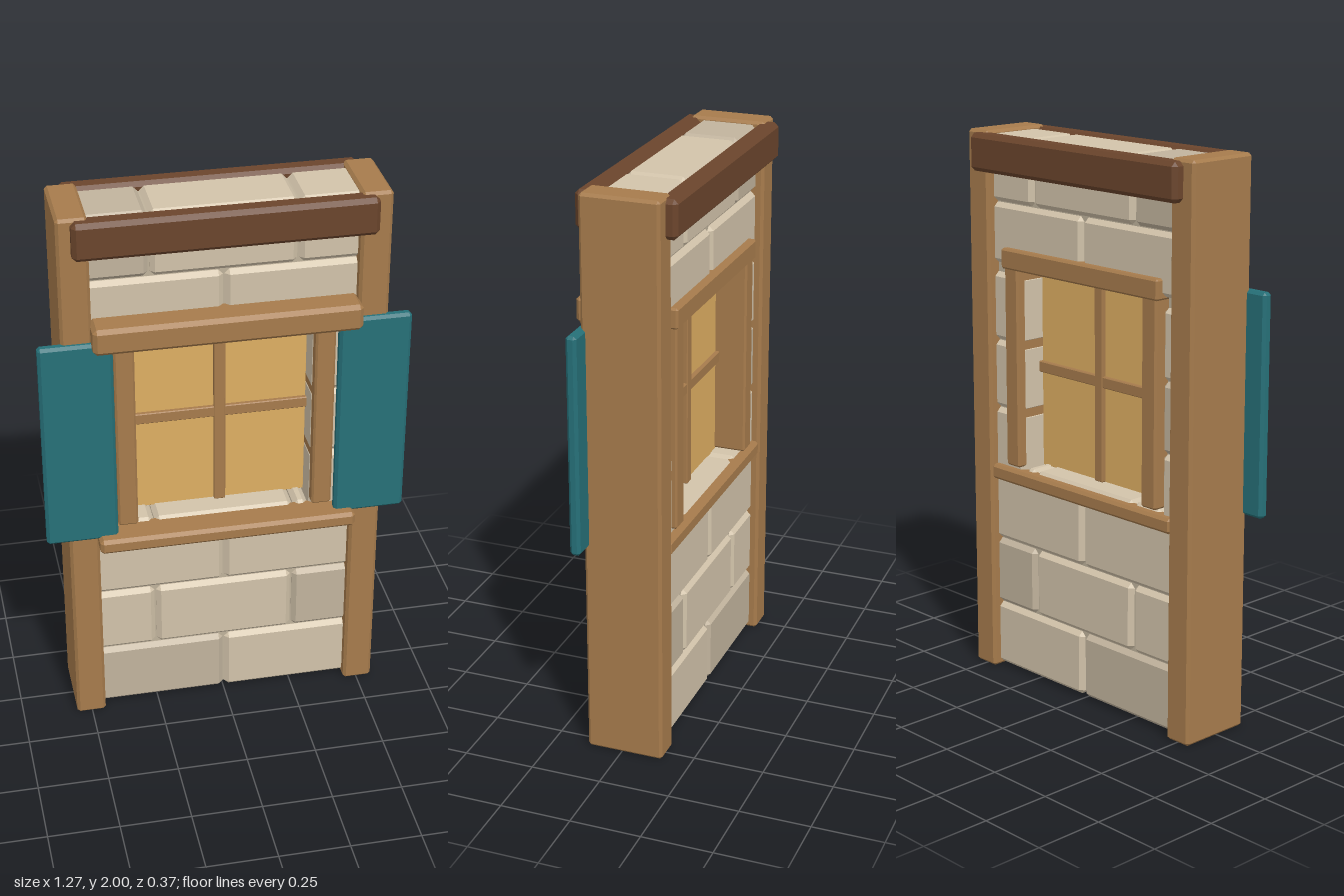
import * as THREE from 'three';
import { ConvexGeometry } from 'three/addons/geometries/ConvexGeometry.js';

const paint = (color) => new THREE.MeshStandardMaterial({ color, flatShading: true });
const WOOD = paint(0xa67b4c);
const DARK_WOOD = paint(0x6b452c);
const STONE = paint(0xd2c3aa);
const STONE_SHADE = paint(0xc1b39d);
const MORTAR = paint(0xbfb29b);
const TEAL = paint(0x267078);
const PANE = paint(0xdeae62);

// Box between two corners, with every edge cut back by c
function chamferBox([x0, x1], [y0, y1], [z0, z1], c) {
  const centre = [(x0 + x1) / 2, (y0 + y1) / 2, (z0 + z1) / 2];
  const half = [(x1 - x0) / 2, (y1 - y0) / 2, (z1 - z0) / 2];
  const points = [];
  for (const sx of [-1, 1]) for (const sy of [-1, 1]) for (const sz of [-1, 1]) {
    for (let face = 0; face < 3; face++) {
      const p = [sx, sy, sz].map((s, i) => centre[i] + s * (half[i] - (i === face ? 0 : c)));
      points.push(new THREE.Vector3(...p));
    }
  }
  return new ConvexGeometry(points);
}

export function createModel() {
  const model = new THREE.Group();
  model.name = 'windowWall';

  const add = (name, material, x, y, z, c = 0.01, parent = model) => {
    const mesh = new THREE.Mesh(chamferBox(x, y, z, c), material);
    mesh.name = name;
    parent.add(mesh);
  };
  // The same range on the +x or -x side
  const side = (s, a, b) => (s > 0 ? [a, b] : [-b, -a]);

  // Stone courses, leaving an opening for the window
  const wall = new THREE.Group();
  wall.name = 'stoneWall';
  model.add(wall);
  const wallZ = [-0.12, 0.09];
  const brick = (x0, x1, y0, y1, shade) =>
    add('stone', shade ? STONE_SHADE : STONE, [x0 + 0.003, x1 - 0.003], [y0 + 0.002, y1 - 0.002], wallZ, 0.016, wall);

  const shaded = new Set(['0:0', '1:2', '7:0', '4:0', '5:1']);
  for (let row = 0; row < 8; row++) {
    const y0 = row === 0 ? 0.008 : row === 6 ? 1.53 : row * 0.25;
    const y1 = row === 7 ? 1.99 : (row + 1) * 0.25;
    const opening = row >= 3 && row <= 5;
    const cuts = opening ? [-0.47, -0.385, 0.305, 0.47]
      : row % 2 ? [-0.47, -0.25, 0.25, 0.47] : [-0.47, 0, 0.47];
    for (let i = 0; i < cuts.length - 1; i++) {
      if (opening && i === 1) continue;
      brick(cuts[i], cuts[i + 1], y0, y1, shaded.has(`${row}:${i}`));
    }
  }
  // Low course closing the bottom of the opening
  [[-0.385, -0.25], [-0.25, 0.25], [0.25, 0.305]].forEach(([a, b]) => brick(a, b, 0.75, 0.802, false));

  // Mortar recessed behind the stone faces
  const mortarZ = [-0.102, 0.072];
  add('mortar', MORTAR, [-0.47, 0.47], [0.025, 0.775], mortarZ, 0.001, wall);
  add('mortar', MORTAR, [-0.47, 0.47], [1.54, 1.972], mortarZ, 0.001, wall);
  add('mortar', MORTAR, [-0.47, -0.4], [0.77, 1.55], mortarZ, 0.001, wall);
  add('mortar', MORTAR, [0.32, 0.47], [0.77, 1.55], mortarZ, 0.001, wall);

  for (const s of [-1, 1]) {
    add('cornerPost', WOOD, side(s, 0.45, 0.555), [0, 2], [-0.15, 0.125]);
    add('windowJamb', WOOD, side(s, 0.31, 0.38), [0.802, 1.53], [-0.14, 0.115], 0.007);
    add('shutter', TEAL, side(s, 0.385, 0.635), [0.775, 1.55], [0.106, 0.144]);
  }

  // Top beams on both faces
  add('frontTopBeam', DARK_WOOD, [-0.508, 0.505], [1.86, 1.993], [0.087, 0.16], 0.015);
  add('backTopBeam', DARK_WOOD, [-0.508, 0.505], [1.86, 1.993], [-0.188, -0.117], 0.015);

  // Lintel, head board and sills
  add('lintel', WOOD, [-0.455, 0.455], [1.525, 1.62], [0.06, 0.185], 0.014);
  add('headBoard', WOOD, [-0.39, 0.39], [1.522, 1.595], [-0.147, 0.08], 0.007);
  add('frontSill', WOOD, [-0.455, 0.455], [0.735, 0.79], [0.06, 0.185], 0.012);
  add('backSill', WOOD, [-0.455, 0.455], [0.735, 0.79], [-0.147, -0.09]);

  // Lit pane with crossing bars
  add('windowPane', PANE, [-0.315, 0.307], [0.795, 1.53], [-0.025, -0.005], 0.001);
  add('uprightBar', WOOD, [-0.02, 0.02], [0.8, 1.53], [-0.042, 0.012], 0.003);
  add('crossBar', WOOD, [-0.315, 0.315], [1.143, 1.183], [-0.04, 0.01], 0.003);

  return model;
}
